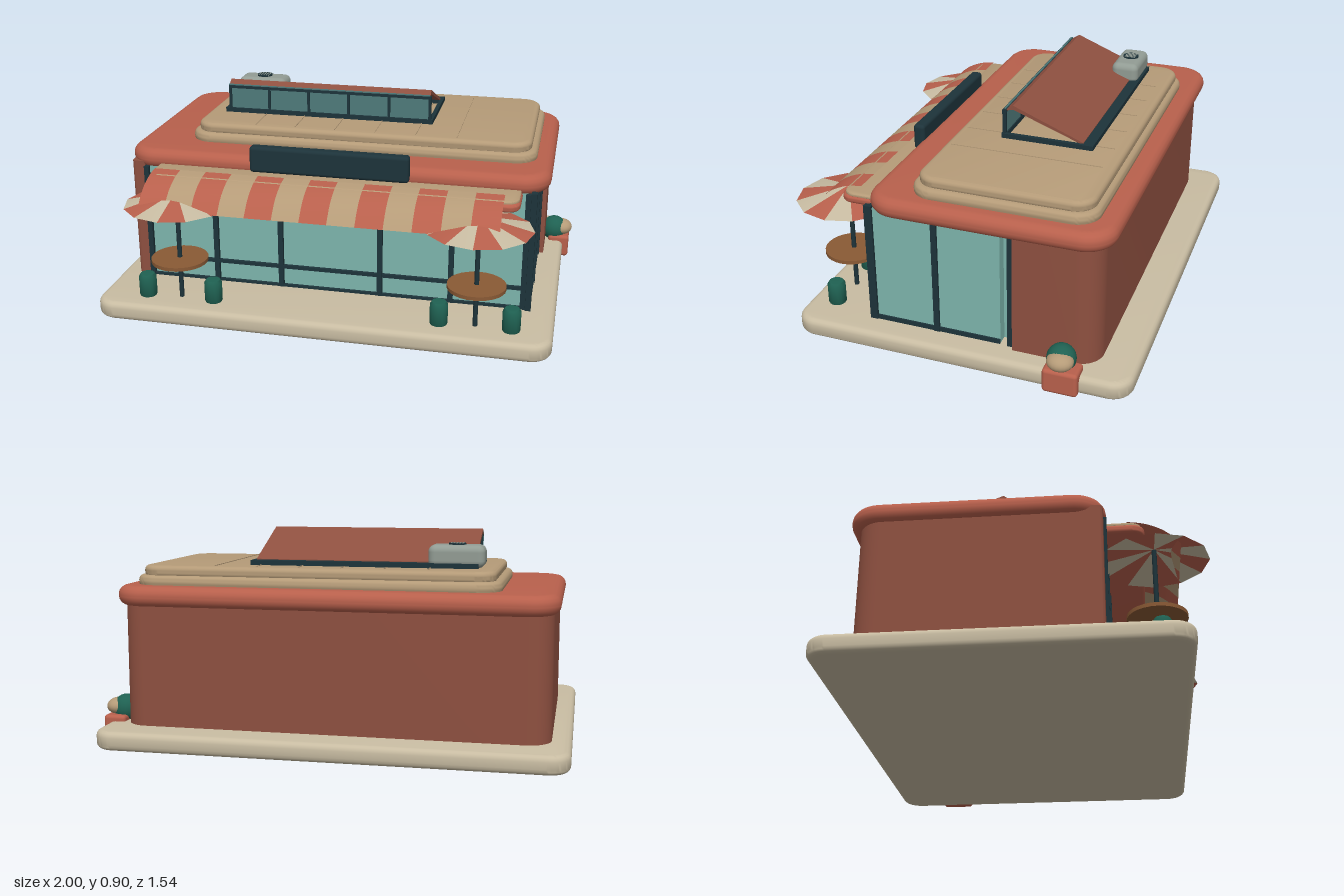
import * as THREE from 'three';
import { toCreasedNormals } from 'three/addons/utils/BufferGeometryUtils.js';
import { RoundedBoxGeometry } from 'three/addons/geometries/RoundedBoxGeometry.js';

const mat = (name, color, side = THREE.FrontSide) => {
  const m = new THREE.MeshStandardMaterial({ color, side });
  m.name = name;
  return m;
};

export function createModel() {
  const root = new THREE.Group();
  root.name = 'cafe';
  const cream = mat('cream', 0xc8bca2, THREE.DoubleSide);
  const red = mat('terracotta', 0xb8604c, THREE.DoubleSide);
  const brick = mat('brick', 0x8e5040);
  const tan = mat('tan', 0xb59b78, THREE.DoubleSide);
  const glass = mat('glass', 0x7db5ac);
  const shadeGlass = mat('skylight glass', 0x4f7a7a, THREE.DoubleSide);
  const dark = mat('dark frame', 0x1d333a);
  const green = mat('green', 0x1f6152);
  const wood = mat('wood', 0x8a5a35);
  const grey = mat('grey', 0x929c94);

  const add = (name, geo, m, x = 0, y = 0, z = 0, parent = root) => {
    const mesh = new THREE.Mesh(geo, m);
    mesh.name = name;
    mesh.position.set(x, y, z);
    parent.add(mesh);
    return mesh;
  };
  // Boxes are given by their bounds
  const box = (name, m, x0, x1, y0, y1, z0, z1, r = 0) => add(name,
    r ? new RoundedBoxGeometry(x1 - x0, y1 - y0, z1 - z0, 3, r) : new THREE.BoxGeometry(x1 - x0, y1 - y0, z1 - z0),
    m, (x0 + x1) / 2, (y0 + y1) / 2, (z0 + z1) / 2);
  // Upright extrusion of a plan drawn in (x, -z)
  const rise = (name, m, shape, y0, y1, b = 0) => {
    const g = new THREE.ExtrudeGeometry(shape, {
      depth: y1 - y0 - 2 * b, bevelEnabled: b > 0, bevelThickness: b, bevelSize: b,
      bevelOffset: -b, bevelSegments: 4, curveSegments: 8,
    });
    g.rotateX(-Math.PI / 2);
    return add(name, toCreasedNormals(g, 0.6), m, 0, y0 + b, 0);
  };
  // Slab with rounded plan corners and rounded edges
  const slab = (name, m, x0, x1, y0, y1, z0, z1, r, b) => {
    const s = new THREE.Shape();
    const a = -z1, c = -z0, h = Math.PI / 2;
    s.absarc(x1 - r, a + r, r, -h, 0);
    s.absarc(x1 - r, c - r, r, 0, h);
    s.absarc(x0 + r, c - r, r, h, 2 * h);
    s.absarc(x0 + r, a + r, r, 2 * h, 3 * h);
    return rise(name, m, s, y0, y1, b);
  };

  // Ground slab
  slab('groundSlab', cream, -1, 0.96, 0, 0.08, -0.77, 0.68, 0.09, 0.025);

  // Walls: solid back block with a wing down one side
  const plan = new THREE.Shape();
  plan.moveTo(-0.9, -0.35);
  plan.lineTo(-0.86, -0.35);
  plan.lineTo(-0.86, 0.265);
  plan.lineTo(0.875, 0.265);
  plan.absarc(0.775, 0.52, 0.1, 0, Math.PI / 2);
  plan.absarc(-0.82, 0.52, 0.1, Math.PI / 2, Math.PI);
  plan.lineTo(-0.92, -0.33);
  plan.quadraticCurveTo(-0.92, -0.35, -0.9, -0.35);
  rise('walls', brick, plan, 0.07, 0.62);

  // Glazing, recessed strip and frames
  box('glazing', glass, -0.86, 0.845, 0.08, 0.6, -0.205, 0.345);
  box('recessedGlazing', glass, -0.8, 0.8, 0.08, 0.6, -0.27, -0.2);
  for (const x of [-0.85, -0.54, -0.243, 0.2, 0.51, 0.82])
    box('frontMullion', dark, x - 0.011, x + 0.011, 0.08, 0.6, 0.335, 0.362);
  box('frontRail', dark, -0.85, 0.84, 0.168, 0.183, 0.34, 0.36);
  box('frontSill', dark, -0.85, 0.84, 0.08, 0.09, 0.34, 0.36);
  box('cornerPost', dark, 0.832, 0.856, 0.08, 0.61, 0.337, 0.37);
  for (const z of [0.07, -0.25])
    box('sideMullion', dark, 0.83, 0.856, 0.08, 0.6, z - 0.012, z + 0.012);
  box('sideSill', dark, 0.835, 0.852, 0.08, 0.1, -0.205, 0.345);

  // Roof tiers
  slab('roofRim', red, -0.945, 0.905, 0.59, 0.675, -0.66, 0.36, 0.13, 0.04);
  slab('lowerRoofTier', tan, -0.71, 0.835, 0.66, 0.715, -0.58, 0.19, 0.1, 0.022);
  slab('upperRoofTier', tan, -0.685, 0.81, 0.705, 0.755, -0.56, 0.168, 0.085, 0.02);
  for (let i = 0; i < 6; i++) {
    const x = -0.41 + i * 0.18;
    box('roofSeam', tan, x - 0.002, x + 0.002, 0.75, 0.758, -0.51, 0.14);
  }

  // Roof skylight: frame, glazed front, sloping cover
  const [sx0, sx1] = [-0.605, 0.36];
  box('skylightBack', dark, sx0, sx1, 0.753, 0.775, -0.43, -0.37);
  box('skylightFrontSill', dark, sx0, sx1, 0.753, 0.775, -0.052, -0.032);
  for (const x of [sx0, sx1 - 0.018])
    box('skylightSideSill', dark, x, x + 0.018, 0.753, 0.775, -0.4, -0.04);
  box('skylightGlass', shadeGlass, -0.59, 0.345, 0.77, 0.885, -0.047, -0.041);
  for (let i = 0; i < 6; i++) {
    const x = -0.582 + i * 0.1855;
    box('skylightPost', dark, x - 0.006, x + 0.006, 0.77, 0.88, -0.05, -0.034);
  }
  box('skylightHead', dark, -0.588, 0.35, 0.868, 0.88, -0.052, -0.035);
  const cover = new THREE.Shape([[0.038, 0.872], [0.08, 0.9], [0.385, 0.778], [0.385, 0.768], [0.08, 0.882]]
    .map(([z, y]) => new THREE.Vector2(z, y)));
  const coverGeo = new THREE.ExtrudeGeometry(cover, { depth: 0.935, bevelEnabled: false });
  coverGeo.rotateY(Math.PI / 2);
  add('skylightCover', coverGeo, brick, -0.59, 0, 0);

  // Rooftop fan unit
  box('fanUnit', grey, -0.63, -0.395, 0.755, 0.85, -0.42, -0.295, 0.03);
  add('fanGrille', new THREE.CylinderGeometry(0.036, 0.036, 0.012, 20), dark, -0.513, 0.85, -0.36);
  for (let i = -2; i <= 2; i++)
    box('fanSlat', grey, -0.515 + i * 0.012, -0.511 + i * 0.012, 0.854, 0.858, -0.385, -0.335);

  // Blank sign board and canopy ledge
  box('signBoard', dark, -0.365, 0.325, 0.62, 0.735, 0.34, 0.392, 0.015);
  slab('canopyLedge', red, -0.79, 0.795, 0.572, 0.608, 0.3, 0.51, 0.05, 0.015);
  slab('canopyTop', tan, -0.785, 0.79, 0.6, 0.618, 0.3, 0.5, 0.05, 0.008);

  // Striped awning: one curved strip per stripe
  const arc = new THREE.CatmullRomCurve3([[0.625, 0.44], [0.613, 0.51], [0.575, 0.59], [0.515, 0.65]]
    .map(([y, z]) => new THREE.Vector3(0, y, z))).getPoints(8);
  const stripe = 1.505 / 13;
  for (let i = 0; i < 13; i++) {
    const g = new THREE.PlaneGeometry(stripe, 1, 1, 8);
    const p = g.attributes.position;
    for (let k = 0; k < p.count; k++) {
      const q = arc[Math.floor(k / 2)];
      p.setXYZ(k, p.getX(k), q.y, q.z);
    }
    g.computeVertexNormals();
    add('awningStripe', g, i % 2 ? tan : red, -0.775 + (i + 0.5) * stripe, 0, 0);
  }

  // Tables with umbrellas and stools
  for (const side of [-1, 1]) {
    const set = new THREE.Group();
    set.name = 'tableSet';
    set.position.set(side * 0.64, 0, 0.547);
    root.add(set);
    add('pole', new THREE.CylinderGeometry(0.01, 0.01, 0.485, 12), dark, 0, 0.322, 0, set);
    add('tableTop', new THREE.CylinderGeometry(0.122, 0.122, 0.016, 28), wood, 0, 0.26, 0, set);
    for (let i = 0; i < 12; i++) {
      const a = Math.PI / 6;
      add('umbrellaPanel', new THREE.ConeGeometry(0.223, 0.055, 1, 1, true, i * a, a),
        i % 2 ? cream : red, 0, 0.542, 0, set);
    }
    const seat = [[0, 0], [0.034, 0], [0.038, 0.008], [0.038, 0.09], [0.03, 0.103], [0, 0.105]]
      .map(([x, y]) => new THREE.Vector2(x, y));
    for (const s of [-1, 1])
      add('stool', toCreasedNormals(new THREE.LatheGeometry(seat, 20), 0.7), green, s * 0.15, 0.078, 0.013, set);
  }

  // Planter at the side
  box('planter', red, 0.89, 0.988, 0, 0.105, -0.57, -0.425, 0.015);
  add('bush', new THREE.SphereGeometry(0.06, 20, 14), green, 0.915, 0.125, -0.485);
  add('blossom', new THREE.SphereGeometry(1, 20, 14), tan, 0.95, 0.133, -0.49).scale.set(0.05, 0.037, 0.055);

  return root;
}
